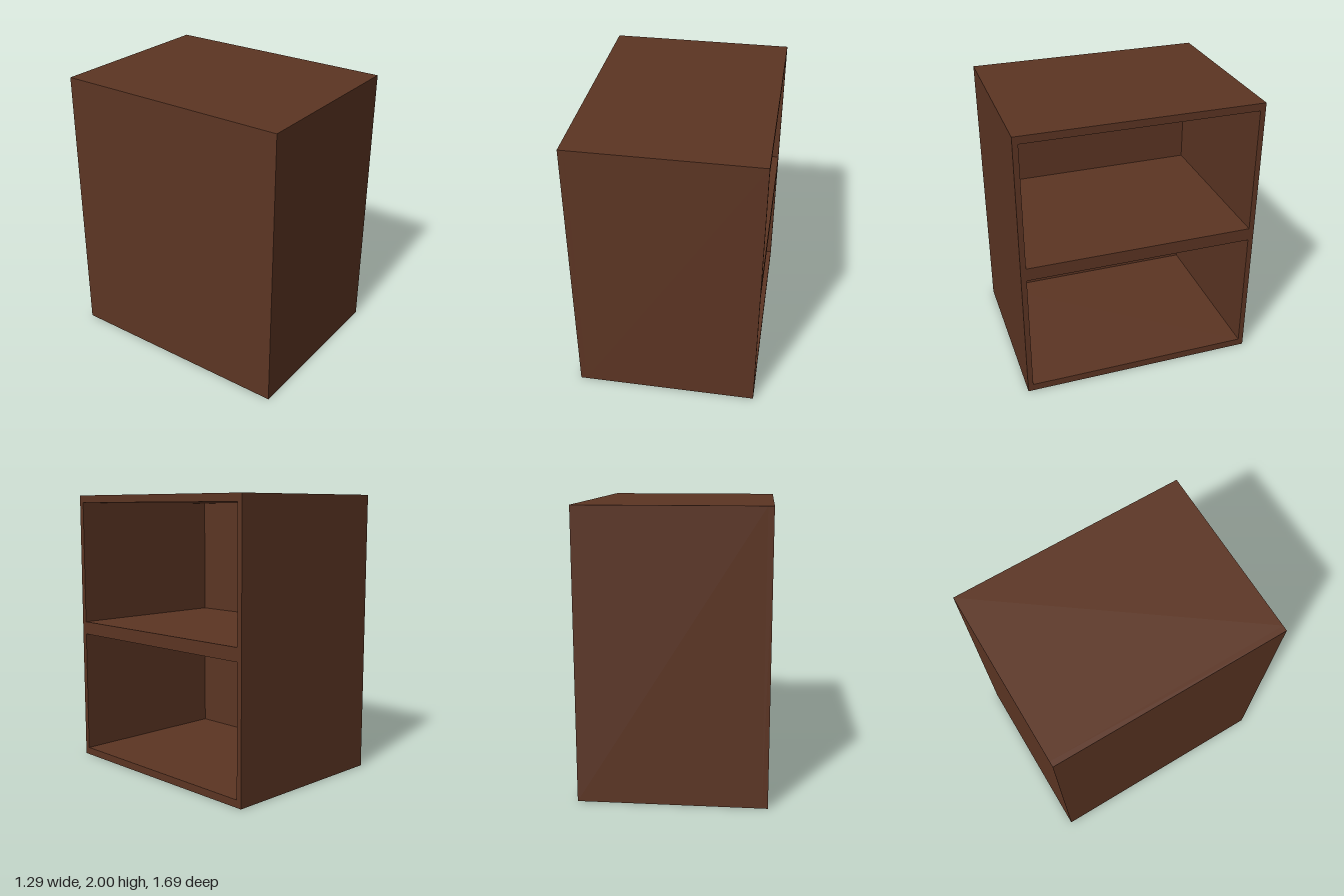
import * as THREE from 'three';

const W = 1.29, H = 2, D = 1.694;        // overall x, y, z
const SIDE = 0.038, CAP = 0.053, SHELF = 0.094, BACK = 0.04;

// Closed rectangle points for the frame outline and its openings
const rect = (x0, y0, x1, y1) => [[x0, y0], [x1, y0], [x1, y1], [x0, y1]].map(p => new THREE.Vector2(...p));

export function createModel() {
  const group = new THREE.Group();
  group.name = 'openCabinet';
  const wood = new THREE.MeshStandardMaterial({ color: 0x5c3523 });
  wood.name = 'darkBrownWood';

  // Carcass: sides, top, bottom and middle shelf, open towards +x
  const outline = new THREE.Shape(rect(-D / 2, 0, D / 2, H));
  const inner = D / 2 - SIDE, middle = H / 2;
  for (const [y0, y1] of [[CAP, middle - SHELF / 2], [middle + SHELF / 2, H - CAP]]) {
    outline.holes.push(new THREE.Path(rect(-inner, y0, inner, y1)));
  }
  const frameGeometry = new THREE.ExtrudeGeometry(outline, { depth: W - BACK, bevelEnabled: false });
  frameGeometry.rotateY(Math.PI / 2);
  frameGeometry.translate(-W / 2 + BACK, 0, 0);
  const frame = new THREE.Mesh(frameGeometry, wood);
  frame.name = 'carcassWithShelf';
  group.add(frame);

  // Panel closing the compartments on the -x side
  const panel = new THREE.Mesh(new THREE.BoxGeometry(BACK, H, D), wood);
  panel.name = 'closingPanel';
  panel.position.set(-W / 2 + BACK / 2, H / 2, 0);
  group.add(panel);

  return group;
}
